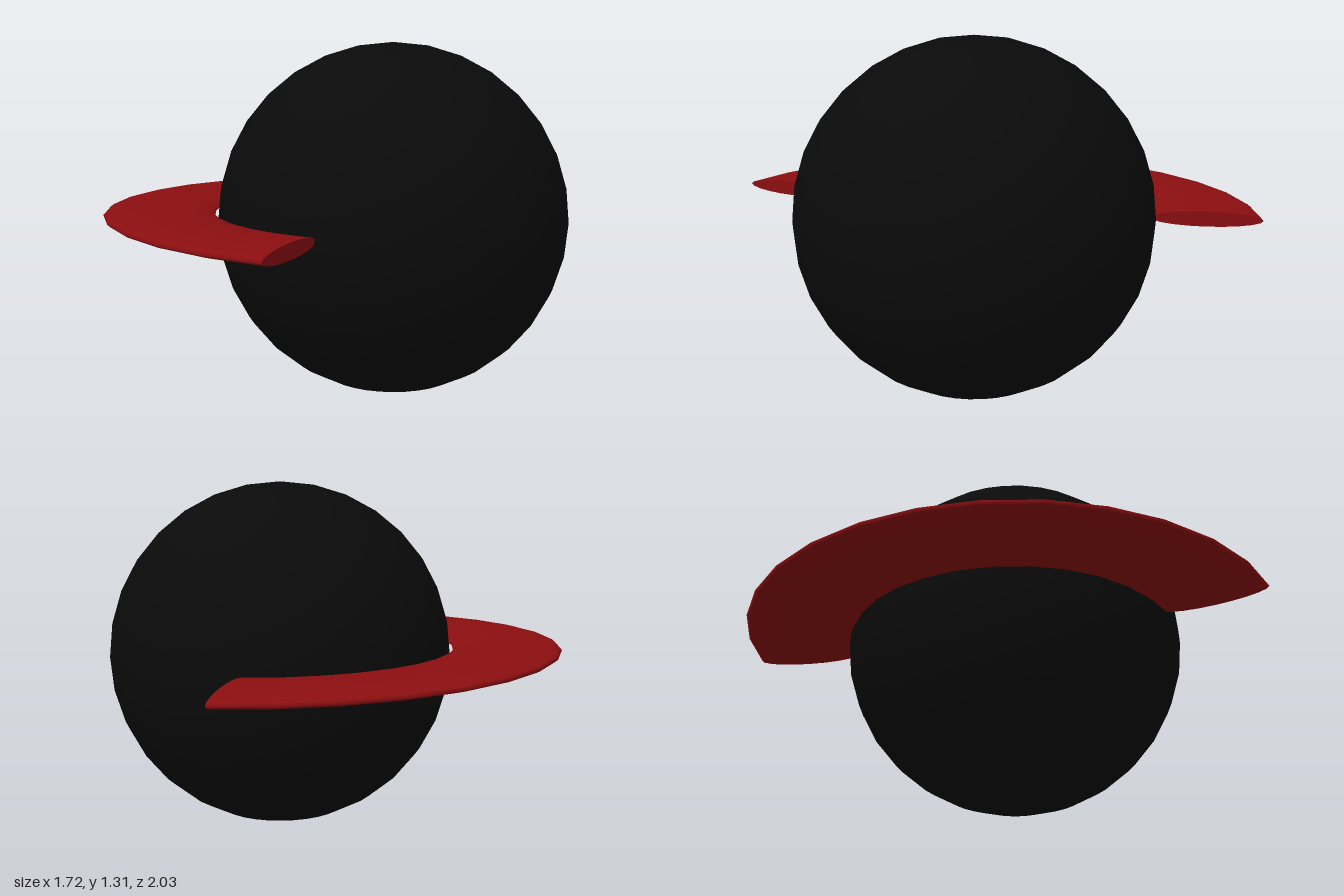
import * as THREE from 'three';

export function createModel() {
  const model = new THREE.Group();
  const black = new THREE.MeshStandardMaterial({ color: 0x0a0a0a });
  black.name = 'black';
  const red = new THREE.MeshStandardMaterial({ color: 0x8b0e10, side: THREE.DoubleSide });
  red.name = 'deep red';

  // Ball
  const ball = new THREE.Mesh(new THREE.SphereGeometry(0.653, 32, 16), black);
  ball.name = 'ball';
  ball.position.set(0.205, 0.656, 0);
  model.add(ball);

  // Partial ring with a lens-shaped section, slightly tilted
  const ring = new THREE.Group();
  ring.name = 'ring';
  ring.position.set(0.165, 0.666, 0);
  ring.rotation.set(-0.0125, 0, -0.024);
  model.add(ring);

  const inner = 0.625, outer = 1.027, half = 0.028, steps = 10;
  const section = [];
  for (let i = 0; i <= steps * 2; i++) {
    const a = (i / steps) * Math.PI;
    const t = (1 - Math.cos(a)) / 2;
    section.push(new THREE.Vector2(inner + (outer - inner) * t, -half * Math.sin(a)));
  }
  const start = THREE.MathUtils.degToRad(189.6);
  const sweep = THREE.MathUtils.degToRad(160.8);
  const band = new THREE.Mesh(new THREE.LatheGeometry(section, 14, start, sweep), red);
  band.name = 'ringBand';
  ring.add(band);

  // Flat caps closing both ends of the ring
  const capShape = new THREE.Shape(section.slice(0, -1));
  [['backCap', start], ['frontCap', start + sweep]].forEach(([name, angle]) => {
    const cap = new THREE.Mesh(new THREE.ShapeGeometry(capShape), red);
    cap.name = name;
    cap.rotation.y = angle - Math.PI / 2;
    ring.add(cap);
  });

  return model;
}
